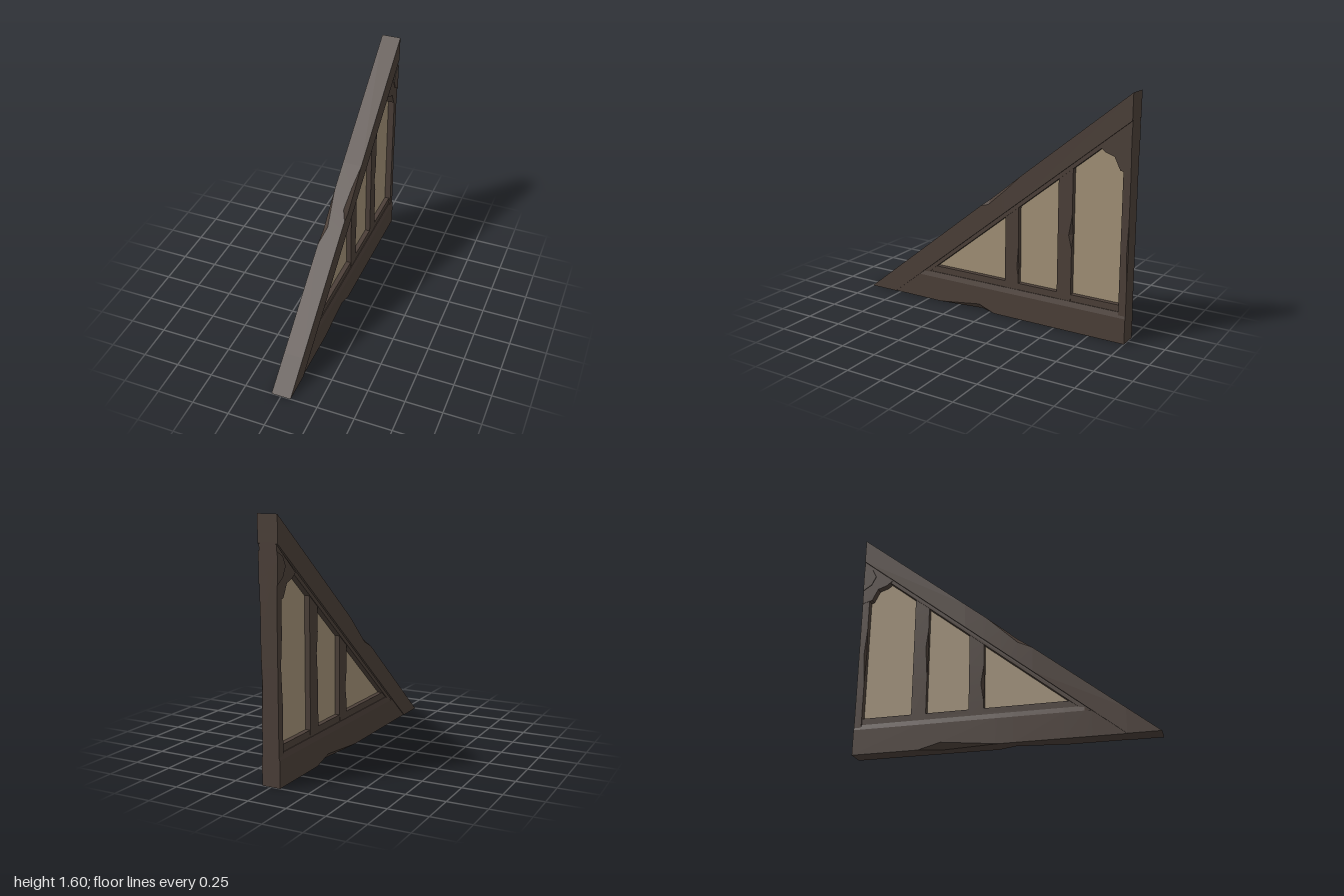
import * as THREE from 'three';

const wood = new THREE.MeshStandardMaterial({ color: 0x4b3f38 });
wood.name = 'darkTimber';
const plaster = new THREE.MeshStandardMaterial({ color: 0xa19076 });
plaster.name = 'plaster';

// All outlines use s = -z (low tip at s = -1, tall back at s = 1) and y.
const roof = (s, offset) => 0.8 * s + offset;
const UNDER = 0.632; // underside of the rafter
const TRIM = 0.6; // underside of its trim

// Flat-shaded solid through convex rings of [x, y, s] points.
function loft(rings) {
  const tris = [];
  const n = rings[0].length;
  for (let r = 0; r < rings.length - 1; r++) {
    for (let i = 0; i < n; i++) {
      const j = (i + 1) % n;
      const [a, b, c, d] = [rings[r][i], rings[r][j], rings[r + 1][j], rings[r + 1][i]];
      tris.push([a, b, c], [a, c, d]);
    }
  }
  const first = rings[0], last = rings[rings.length - 1];
  for (let i = 1; i < n - 1; i++) {
    tris.push([first[0], first[i + 1], first[i]], [last[0], last[i], last[i + 1]]);
  }
  const solid = tris.map((t) => t.map(([x, y, s]) => new THREE.Vector3(x, y, -s)));
  // Turn the faces outward whichever way the rings run.
  let volume = 0;
  for (const [a, b, c] of solid) volume += a.dot(b.clone().cross(c));
  if (volume < 0) solid.forEach((t) => t.reverse());
  const geo = new THREE.BufferGeometry().setFromPoints(solid.flat());
  geo.computeVertexNormals();
  return geo;
}

// Slab of an (s, y) outline, centred on x = 0.
function slab(points, halfWidth) {
  const shape = new THREE.Shape(points.map(([s, y]) => new THREE.Vector2(s, y)));
  const geo = new THREE.ExtrudeGeometry(shape, { depth: halfWidth * 2, bevelEnabled: false });
  return geo.translate(0, 0, -halfWidth).rotateY(Math.PI / 2);
}

// Chip size at position t, from a list of [t, size] knots.
function chip(knots, t) {
  for (let i = 0; i < knots.length - 1; i++) {
    const [t0, v0] = knots[i], [t1, v1] = knots[i + 1];
    if (t >= t0 && t <= t1) return THREE.MathUtils.lerp(v0, v1, (t - t0) / (t1 - t0));
  }
  return 0;
}

const stations = (list) => [...new Set(list)].sort((a, b) => a - b);

// Sloping rafter with a chip on each top edge
function rafterGeometry() {
  const w = 0.066;
  const left = [[-0.06, 0], [0, 0.03], [0.12, 0.02], [0.25, 0]];
  const right = [[-0.21, 0], [-0.11, 0.032], [0.1, 0]];
  const at = stations([-1, -0.79, 1, ...left.map((k) => k[0]), ...right.map((k) => k[0])]);
  return loft(at.map((s) => {
    const top = roof(s, 0.8), low = Math.max(0, roof(s, UNDER));
    const a = chip(left, s), b = chip(right, s);
    return [[-w, low, s], [w, low, s], [w, top - a, s], [w - a, top, s], [b - w, top, s], [-w, top - b, s]];
  }));
}

// Bottom beam with bevelled top and chipped lower edges
function sillGeometry() {
  const w = 0.061, wt = 0.05;
  const left = [[-0.4, 0], [-0.08, 0.045], [0.04, 0]];
  const right = [[0.02, 0], [0.4, 0.04], [0.55, 0]];
  const at = stations([-0.79, -0.577, -0.534, 1, ...left.map((k) => k[0]), ...right.map((k) => k[0])]);
  return loft(at.map((s) => {
    const top = Math.min(0.205, roof(s, UNDER)), edge = Math.min(0.17, top);
    const a = chip(left, s), b = chip(right, s);
    return [[b - w, 0, s], [w - a, 0, s], [w, a, s], [w, edge, s], [wt, top, s], [-wt, top, s], [-w, edge, s], [-w, b, s]];
  }));
}

// Upright from s0 to s1; chips on its left-back and right-front edges
function uprightGeometry(s0, s1, w, bottom, left, right) {
  const top = roof(s0, TRIM) - 0.03;
  const at = stations([bottom, top, ...left.map((k) => k[0]), ...right.map((k) => k[0])]);
  const ring = (y, slanted) => {
    const a = chip(left, y), b = chip(right, y);
    return [[-w, s0 + b], [b - w, s0], [w, s0], [w, s1 - a], [w - a, s1], [-w, s1]]
      .map(([x, s]) => [x, slanted ? roof(s, TRIM + 0.015) : y, s]);
  };
  return loft([...at.map((y) => ring(y, false)), ring(top + 0.05, true)]);
}

export function createModel() {
  const model = new THREE.Group();
  model.name = 'timberGableWall';
  const add = (name, geo, mat = wood) => {
    const mesh = new THREE.Mesh(geo, mat);
    mesh.name = name;
    model.add(mesh);
  };

  add('rafter', rafterGeometry());
  add('bottomBeam', sillGeometry());

  // Narrow trim framing the panels
  add('rafterTrim', slab([[-0.79, 0.0], [-0.75, 0], [1, 1.4], [1, 1.44]], 0.052));
  add('beamTrim', slab([[-0.52, 0.2], [1, 0.2], [1, 0.25], [-0.46, 0.25]], 0.045));

  // Plaster infill
  add('plasterPanel', slab([[-0.5, 0.22], [0.97, 0.22], [0.97, 1.39]], 0.012), plaster);

  // Studs and the back post
  add('frontStud', uprightGeometry(0.12, 0.22, 0.047, 0.2,
    [[0.3, 0], [0.36, 0.01], [0.5, 0]], [[0.3, 0], [0.42, 0.02], [0.55, 0]]));
  add('middleStud', uprightGeometry(0.51, 0.61, 0.047, 0.2,
    [[0.56, 0], [0.65, 0.022], [0.78, 0]], [[0.5, 0], [0.72, 0.015], [0.85, 0]]));
  add('backPost', uprightGeometry(0.95, 1, 0.056, 0.02,
    [[0.4, 0], [0.6, 0.008], [0.8, 0]], [[0.5, 0], [0.72, 0.014], [0.9, 0]]));

  // Carved bracket in the top corner
  add('cornerBracket', slab([[0.79, 1.25], [0.83, 1.22], [0.89, 1.2], [0.93, 1.12], [1, 1.1], [1, 1.43]], 0.058));
  add('bracketCarving', slab([[0.91, 1.3], [0.94, 1.24], [1, 1.2], [1, 1.39], [0.94, 1.36]], 0.063));

  return model;
}
